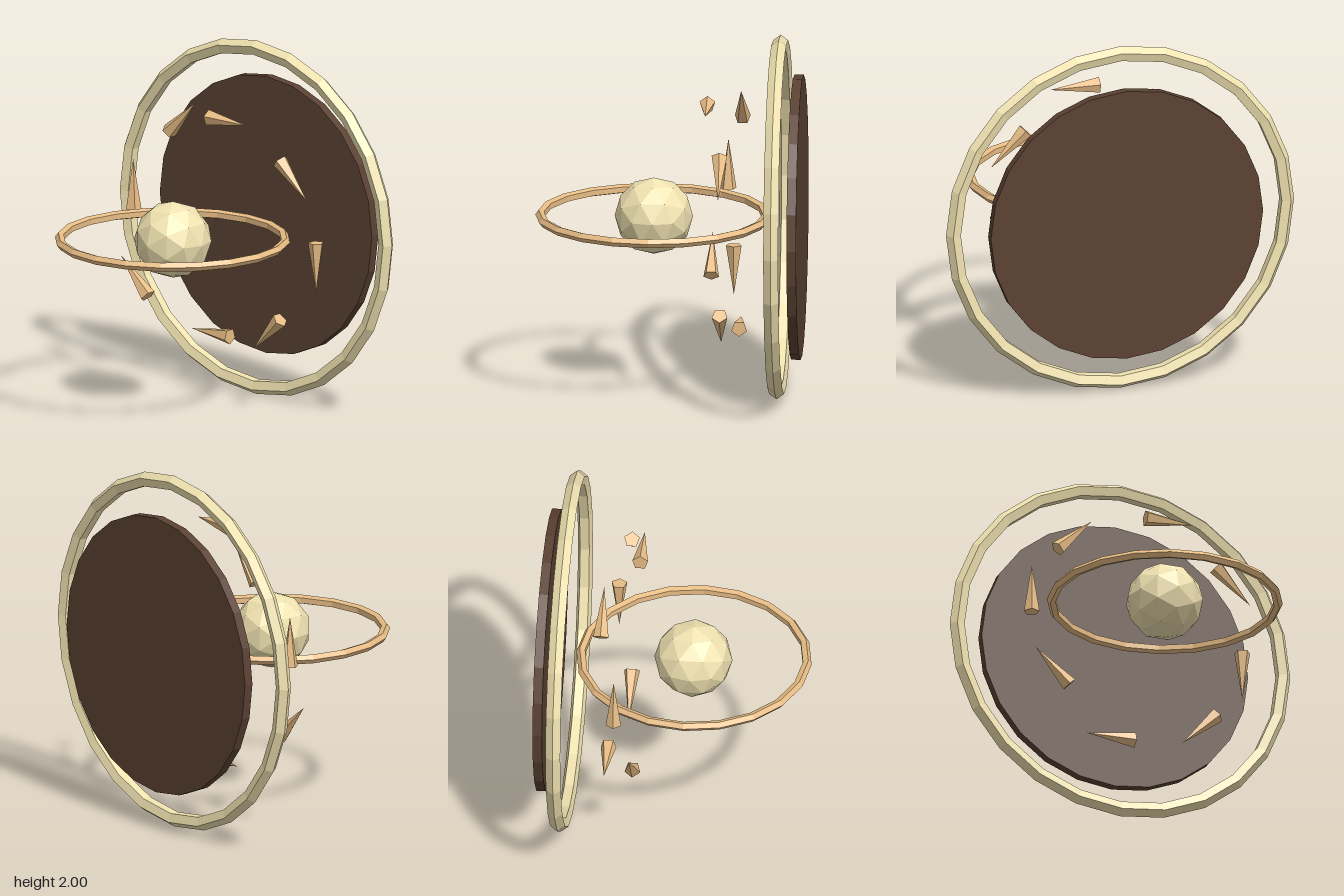
import * as THREE from 'three';

const material = (color) => new THREE.MeshStandardMaterial({ color, flatShading: true });

export function createModel() {
  const model = new THREE.Group();
  const gold = material(0xf0e2b0);
  const copper = material(0xe8bd85);
  const brown = material(0x5a4132);

  const add = (name, geometry, mat, z, parent = model) => {
    const mesh = new THREE.Mesh(geometry, mat);
    mesh.name = name;
    mesh.position.set(0, 1, z);
    parent.add(mesh);
    return mesh;
  };

  // Dark disc at the back
  add('backDisc', new THREE.CylinderGeometry(0.782, 0.782, 0.052, 24).rotateX(Math.PI / 2), brown, -0.709);

  // Large upright ring in front of the disc
  add('outerRing', new THREE.TorusGeometry(0.957, 0.043, 5, 24), gold, -0.605);

  // Faceted core with a level ring around it
  add('core', new THREE.IcosahedronGeometry(0.215, 1), gold, 0.08);
  add('orbitRing', new THREE.TorusGeometry(0.6215, 0.0265, 5, 20).rotateX(Math.PI / 2), copper, 0.083);

  // Eight spikes pointing clockwise, staggered in depth; one base corner faces outward
  const spikes = new THREE.Group();
  spikes.name = 'spikes';
  model.add(spikes);
  const spikeGeometry = new THREE.ConeGeometry(0.045, 0.28, 5)
    .rotateY(Math.PI / 2)
    .translate(0, 0.14, 0)
    .rotateX(Math.PI)
    .translate(0.635, 0, 0);
  for (let i = 0; i < 8; i++) {
    const spike = add(`spike${i + 1}`, spikeGeometry, copper, -0.388 + 0.087 * (i % 3), spikes);
    spike.rotation.z = (i * Math.PI) / 4;
  }

  return model;
}
